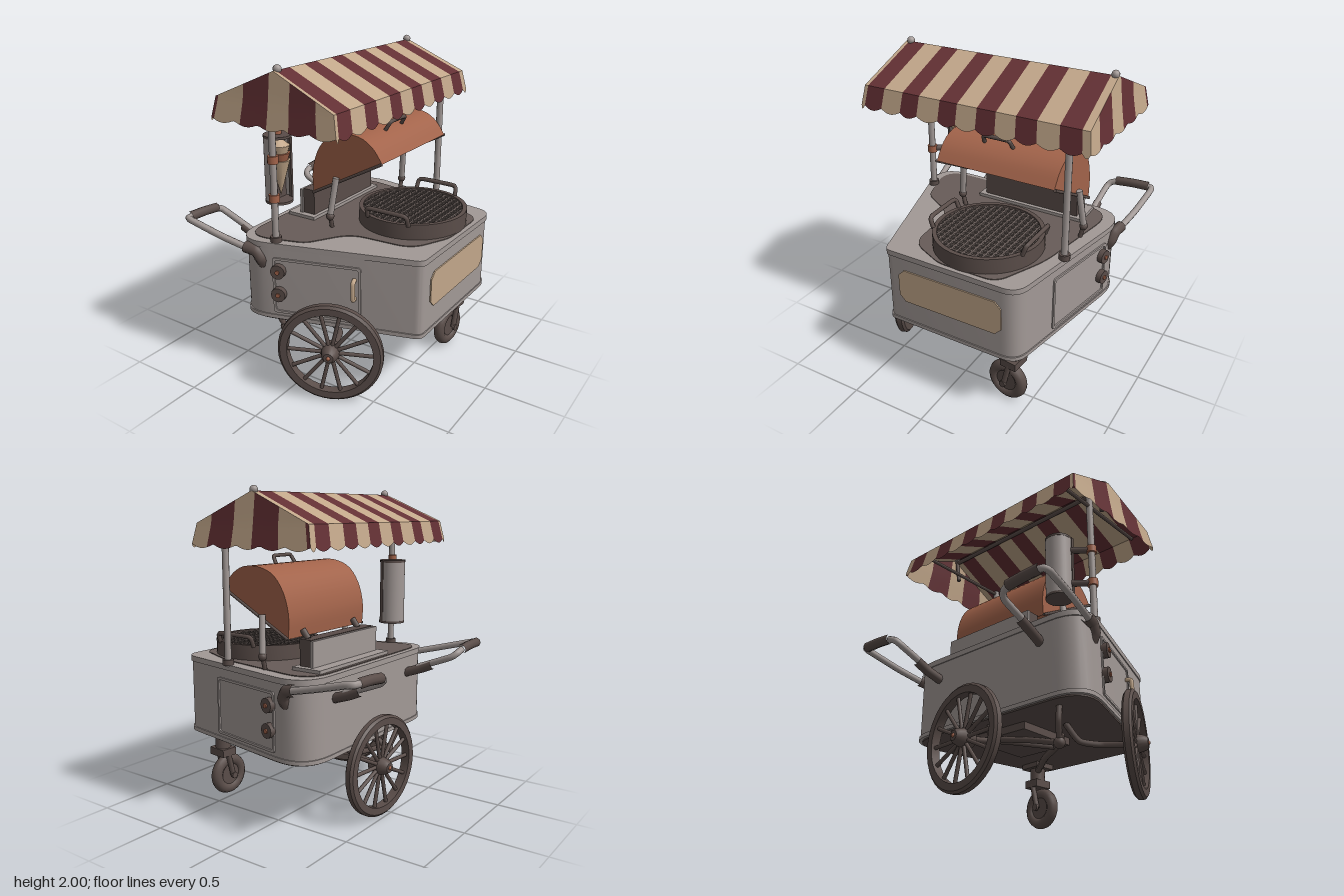
import * as THREE from 'three';
import { toCreasedNormals } from 'three/addons/utils/BufferGeometryUtils.js';

const mat = (name, color, side = THREE.FrontSide) => {
  const m = new THREE.MeshStandardMaterial({ color, side });
  m.name = name;
  return m;
};

export function createModel() {
  const root = new THREE.Group();
  root.name = 'streetGrillCart';
  const grey = mat('paintedGrey', 0xa29996, THREE.DoubleSide);
  const dark = mat('darkIron', 0x5a4d49);
  const deckDark = mat('sootyDeck', 0x675c58);
  const coal = mat('charcoal', 0x483e3a);
  const copper = mat('copper', 0xa2634a, THREE.DoubleSide);
  const maroon = mat('maroonCloth', 0x633034, THREE.DoubleSide);
  const cream = mat('creamCloth', 0xc2a78a, THREE.DoubleSide);

  const V = (p) => new THREE.Vector3(...p);
  const add = (name, geo, material, pos = [0, 0, 0], parent = root) => {
    const m = new THREE.Mesh(geo, material);
    m.name = name;
    m.position.set(...pos);
    parent.add(m);
    return m;
  };
  const group = (name, pos = [0, 0, 0], rotY = 0) => {
    const g = new THREE.Group();
    g.name = name;
    g.position.set(...pos);
    g.rotation.y = rotY;
    root.add(g);
    return g;
  };
  const box = (name, size, pos, material, parent) =>
    add(name, new THREE.BoxGeometry(...size), material, pos, parent);
  const cyl = (r, h, n = 16) => new THREE.CylinderGeometry(r, r, h, n);
  const rod = (name, a, b, r, material, parent) => {
    const A = V(a), d = V(b).sub(A);
    const m = add(name, cyl(r, d.length(), 10), material, A.clone().addScaledVector(d, 0.5).toArray(), parent);
    m.quaternion.setFromUnitVectors(new THREE.Vector3(0, 1, 0), d.normalize());
    return m;
  };
  const tube = (name, pts, r, material, parent) =>
    add(name, new THREE.TubeGeometry(new THREE.CatmullRomCurve3(pts.map(V), false, 'catmullrom', 0.3), 28, r, 8), material, [0, 0, 0], parent);
  const extrude = (shape, depth) =>
    toCreasedNormals(new THREE.ExtrudeGeometry(shape, { depth, bevelEnabled: false, curveSegments: 8 }), 0.6);
  const lathe = (pts, n) =>
    toCreasedNormals(new THREE.LatheGeometry(pts.map((p) => new THREE.Vector2(...p)), n), 0.6);

  // Outline with rounded corners; each point is [x, y, cornerLength]
  const rounded = (pts, T = THREE.Shape) => {
    const s = new T(), n = pts.length;
    pts.forEach((p, i) => {
      const c = new THREE.Vector2(p[0], p[1]);
      const toward = (q) => new THREE.Vector2(q[0], q[1]).sub(c).normalize().multiplyScalar(p[2]).add(c);
      const a = toward(pts[(i + n - 1) % n]), b = toward(pts[(i + 1) % n]);
      i ? s.lineTo(a.x, a.y) : s.moveTo(a.x, a.y);
      s.quadraticCurveTo(c.x, c.y, b.x, b.y);
    });
    s.closePath();
    return s;
  };
  const BODY = [[-0.36, 0.735, 0.25], [0.735, 0.378, 0.04], [0.74, -0.505, 0.1], [-0.36, -0.705, 0.25]];
  const slab = (pts, y0, y1, grow = 0) => {
    const q = pts.map(([x, z, r]) => [x + Math.sign(x - 0.19) * grow, -(z + Math.sign(z) * grow), r]);
    return extrude(rounded(q), y1 - y0).rotateX(-Math.PI / 2).translate(0, y0, 0);
  };

  // Cabinet
  add('cabinet', slab(BODY, 0.46, 0.94), grey);
  add('cabinetTopTrim', slab(BODY, 0.915, 0.95, 0.006), grey);
  add('cabinetBottomTrim', slab(BODY, 0.455, 0.48, 0.006), grey);
  add('cabinetFloor', slab(BODY, 0.445, 0.456, -0.01), dark);
  add('deckPlate', slab([[-0.33, 0.67, 0.2], [0.05, 0.55, 0.05], [0.2, 0.3, 0.1], [0.6, 0.27, 0.1],
    [0.715, 0.02, 0.05], [0.715, -0.36, 0.08], [0.4, -0.5, 0.1], [-0.33, -0.62, 0.2]], 0.948, 0.955), deckDark);

  // Door and knobs on each long face
  const face = (name, pos, rotY, s) => {
    const g = group(name, pos, rotY);
    const frame = rounded([[-0.27, -0.18, 0.02], [0.27, -0.18, 0.02], [0.27, 0.18, 0.02], [-0.27, 0.18, 0.02]]);
    frame.holes.push(rounded([[-0.255, -0.165, 0.02], [-0.255, 0.165, 0.02], [0.255, 0.165, 0.02], [0.255, -0.165, 0.02]], THREE.Path));
    add('doorFrame', extrude(frame, 0.009), grey, [s * 0.15, 0.68, 0], g);
    for (const y of [0.63, 0.78]) {
      add('knob', cyl(0.045, 0.034, 12).rotateX(Math.PI / 2), dark, [s * -0.08, y, 0.017], g);
      add('knobCap', cyl(0.014, 0.01, 10).rotateX(Math.PI / 2), copper, [s * -0.08, y, 0.037], g);
    }
    return g;
  };
  const front = face('frontFace', [0, 0, 0.619], 0.316, 1);
  face('backFace', [0, 0, -0.64], Math.PI - 0.18, -1);
  tube('doorLatch', [[0.38, 0.66, 0], [0.38, 0.67, 0.035], [0.38, 0.77, 0.035], [0.38, 0.78, 0]], 0.014, cream, front);

  // Sign plate with stepped corners on the end face
  const sign = new THREE.Shape();
  [[-0.35, -0.07], [-0.31, -0.11], [0.31, -0.11], [0.35, -0.07], [0.35, 0.07], [0.31, 0.11], [-0.31, 0.11], [-0.35, 0.07]]
    .forEach(([x, y], i) => (i ? sign.lineTo(x, y) : sign.moveTo(x, y)));
  add('signPlate', extrude(sign, 0.008).rotateY(Math.PI / 2), cream, [0.739, 0.73, -0.058]);

  // Round grill with grate and carrying handles
  const grill = group('grill', [0.385, 0, -0.12]);
  add('grillDrum', lathe([[0.335, 0.94], [0.335, 1.05], [0.308, 1.05], [0.308, 1.025]], 40), dark, [0, 0, 0], grill);
  add('grillBed', new THREE.CircleGeometry(0.31, 40).rotateX(-Math.PI / 2), coal, [0, 1.026, 0], grill);
  for (let i = -7; i <= 7; i++) {
    const c = i * 0.04, len = 2 * Math.sqrt(0.308 ** 2 - c * c);
    box('grateBar', [len, 0.012, 0.013], [0, 1.036, c], deckDark, grill);
    box('grateBar', [0.013, 0.012, len], [c, 1.035, 0], deckDark, grill);
  }
  for (const s of [-1, 1])
    tube('grillHandle', [[-0.14, 1.04, s * 0.3], [-0.135, 1.095, s * 0.32], [-0.1, 1.105, s * 0.325], [0.1, 1.105, s * 0.325],
      [0.135, 1.095, s * 0.32], [0.14, 1.04, s * 0.3]], 0.014, dark, grill);

  // Hinge box behind the grill
  box('hingeBoxBack', [0.02, 0.18, 0.68], [-0.228, 1.04, -0.12], grey);
  box('hingeBoxFront', [0.084, 0.19, 0.66], [-0.177, 1.04, -0.12], dark);
  box('hingeBoxFoot', [0.2, 0.03, 0.74], [-0.21, 0.96, -0.12], grey);
  for (const z of [0.12, -0.4]) rod('hinge', [-0.16, 1.13, z], [-0.12, 1.18, z], 0.02, dark);

  // Open half-barrel lid
  const arc = [[-0.115, 1.14], [-0.12, 1.27], [-0.085, 1.4], [-0.01, 1.5], [0.1, 1.543], [0.22, 1.54], [0.31, 1.49], [0.375, 1.405]];
  const curve = new THREE.SplineCurve(arc.map((p) => new THREE.Vector2(...p))).getPoints(24);
  const mid = new THREE.Vector2(0.13, 1.272);
  const inner = curve.map((p) => p.clone().sub(mid).multiplyScalar(0.95).add(mid));
  const lid = group('lid', [0, 0, -0.53]);
  add('lidShell', extrude(new THREE.Shape([...curve, ...inner.reverse()]), 0.77), copper, [0, 0, 0], lid);
  for (const z of [0, 0.755]) add('lidEnd', extrude(new THREE.Shape(curve), 0.015), copper, [0, 0, z], lid);
  for (const z of [-0.004, 0.774]) rod('lidEdge', [-0.115, 1.14, z], [0.375, 1.405, z], 0.009, dark, lid);
  tube('lidHandle', [[0.24, 1.53, -0.2], [0.27, 1.58, -0.19], [0.27, 1.585, -0.16], [0.27, 1.585, -0.05],
    [0.27, 1.58, -0.02], [0.24, 1.53, -0.01]], 0.012, dark);
  for (const s of [-1, 1]) {
    const z = -0.145 + s * 0.41;
    rod('lidStrut', [0.04, 1.03, z + s * 0.02], [0.065, 1.27, z - s * 0.01], 0.02, grey);
    add('strutJoint', new THREE.SphereGeometry(0.026, 10, 8), dark, [0.04, 1.03, z + s * 0.02]);
    rod('strutFoot', [0.04, 0.95, z], [0.04, 1.03, z + s * 0.02], 0.014, dark);
  }

  // Spoked wheels
  const wheel = (name, pos, rotY) => {
    const g = group(name, pos, rotY);
    add('rim', lathe([[0.26, -0.029], [0.303, -0.029], [0.318, -0.016], [0.318, 0.016], [0.303, 0.029],
      [0.26, 0.029], [0.26, -0.029]], 40).rotateX(Math.PI / 2), dark, [0, 0, 0], g);
    for (let i = 0; i < 14; i++) {
      const a = (i / 14) * Math.PI * 2;
      rod('spoke', [0, 0, 0], [Math.cos(a) * 0.268, Math.sin(a) * 0.268, 0], 0.012, dark, g);
    }
    add('hub', lathe([[0, -0.06], [0.05, -0.06], [0.058, 0], [0.045, 0.05], [0.03, 0.07], [0, 0.07]], 16)
      .rotateX(Math.PI / 2), dark, [0, 0, 0], g);
    add('hubCap', new THREE.SphereGeometry(0.013, 10, 8), copper, [0, 0, 0.068], g);
  };
  wheel('frontWheel', [0.265, 0.322, 0.61], 0.41);
  wheel('sideWheel', [-0.462, 0.325, -0.07], -Math.PI / 2 - 0.1);

  // Swivel caster
  const caster = group('caster', [0.555, 0, -0.35], -0.1);
  add('casterTyre', new THREE.TorusGeometry(0.098, 0.037, 10, 28).rotateY(Math.PI / 2), dark, [0, 0.137, 0], caster);
  add('casterHub', cyl(0.07, 0.045, 20).rotateZ(Math.PI / 2), dark, [0, 0.137, 0], caster);
  for (const s of [-1, 1]) {
    rod('casterFork', [s * 0.048, 0.137, 0], [s * 0.048, 0.3, -0.04], 0.018, dark, caster);
    add('casterNut', cyl(0.022, 0.018, 10).rotateZ(Math.PI / 2), dark, [s * 0.06, 0.137, 0], caster);
  }
  box('casterYoke', [0.13, 0.05, 0.11], [0, 0.305, -0.04], dark, caster);
  add('casterStem', cyl(0.05, 0.12), dark, [0, 0.37, -0.04], caster);
  box('casterPlate', [0.15, 0.035, 0.15], [0, 0.43, -0.04], dark, caster);

  // Undercarriage
  box('bellyPan', [0.42, 0.05, 0.4], [0.02, 0.425, -0.05], dark);
  tube('frontAxle', [[0.265, 0.32, 0.61], [0.2, 0.34, 0.42], [0.08, 0.35, 0.34], [0.0, 0.45, 0.3]], 0.02, dark);
  tube('mainBrace', [[-0.22, 0.25, 0.43], [-0.12, 0.33, 0.36], [0.1, 0.36, 0.15], [0.3, 0.39, -0.1], [0.55, 0.4, -0.38]], 0.022, dark);
  tube('sideAxle', [[-0.46, 0.325, -0.07], [-0.3, 0.35, -0.07], [-0.15, 0.37, -0.02], [0.1, 0.36, 0.15]], 0.02, dark);
  tube('braceLink', [[-0.27, 0.45, -0.05], [-0.27, 0.36, -0.02], [-0.23, 0.3, 0.25], [-0.22, 0.25, 0.43]], 0.018, dark);
  tube('braceHanger', [[-0.22, 0.25, 0.43], [-0.26, 0.36, 0.46], [-0.25, 0.46, 0.46]], 0.018, dark);
  add('braceBall', new THREE.SphereGeometry(0.034, 12, 8), dark, [-0.22, 0.25, 0.43]);

  // Push handles, mirrored front to back
  for (const s of [1, -1]) {
    const g = group(s > 0 ? 'frontPushHandle' : 'backPushHandle');
    g.scale.z = s;
    tube('handleBracket', [[-0.19, 0.79, 0.64], [-0.19, 0.84, 0.67], [-0.22, 0.885, 0.68], [-0.29, 0.9, 0.695]], 0.036, dark, g);
    tube('outerRod', [[-0.27, 0.895, 0.695], [-0.45, 0.94, 0.725], [-0.66, 0.995, 0.745], [-0.705, 1.0, 0.735], [-0.71, 1.0, 0.7]], 0.021, grey, g);
    tube('grip', [[-0.71, 1.003, 0.72], [-0.71, 1.0, 0.6], [-0.71, 0.99, 0.49]], 0.031, dark, g);
    tube('innerRod', [[-0.71, 0.99, 0.5], [-0.7, 0.97, 0.45], [-0.66, 0.94, 0.43], [-0.43, 0.85, 0.425]], 0.021, grey, g);
    tube('innerBracket', [[-0.54, 0.88, 0.427], [-0.46, 0.845, 0.425], [-0.33, 0.8, 0.41]], 0.03, dark, g);
  }

  // Poles and canopy frame
  for (const [x, z, top] of [[-0.11, 0.62, 1.87], [0.31, -0.58, 1.79]]) {
    const g = group('pole', [x, 0, z]);
    rod('poleShaft', [0, 0.94, 0], [0, top, 0], 0.021, grey, g);
    add('poleFoot', cyl(0.034, 0.035), dark, [0, 0.965, 0], g);
    rod('crossBar', [-0.36 - x, 1.77, 0], [0.36 - x, 1.77, 0], 0.012, dark, g);
  }
  rod('ridgeBar', [-0.012, 1.94, -0.67], [-0.012, 1.94, 0.67], 0.014, dark);
  for (const z of [-0.685, 0.67]) {
    rod('gablePost', [-0.012, 1.78, z * 0.96], [-0.012, 1.96, z], 0.014, dark);
    add('finial', new THREE.SphereGeometry(0.024, 12, 10), grey, [-0.012, 1.973, z]);
  }

  // Striped canopy: cloth sheets with a flared, scalloped valance
  const canopy = group('canopy', [-0.013, 0, 0]);
  const EAVE = 0.4;
  const roofY = (x) => 1.967 - 0.435 * Math.abs(x);
  const flare = (y) => 1 + 0.07 * Math.max(0, (1.793 - y) / 0.13);
  const spread = (y) => (1 + 0.03 * Math.min(1, (1.967 - y) / 0.174)) * (1 + (flare(y) - 1) * 0.4);
  const hem = (u) => 1.675 - 0.022 * Math.sin(u * Math.PI);
  const sheet = (name, material, nu, nv, fn) => {
    const geo = new THREE.PlaneGeometry(1, 1, nu, nv), p = geo.attributes.position;
    for (let i = 0; i < p.count; i++) p.setXYZ(i, ...fn(p.getX(i) + 0.5, 0.5 - p.getY(i)));
    geo.computeVertexNormals();
    add(name, geo, material, [0, 0, 0], canopy);
  };
  const bands = [-0.705, -0.66, -0.538, -0.41, -0.287, -0.167, -0.05, 0.075, 0.187, 0.325, 0.437, 0.565, 0.682, 0.705];
  for (let i = 0; i < bands.length - 1; i++)
    for (const s of [-1, 1]) {
      const m = i % 2 ? maroon : cream;
      const Z = (u) => THREE.MathUtils.lerp(bands[i], bands[i + 1], s > 0 ? 1 - u : u);
      sheet('roofStripe', m, 4, 4, (u, v) => [s * EAVE * v, roofY(EAVE * v), Z(u) * spread(roofY(EAVE * v))]);
      sheet('valanceStripe', m, 8, 2, (u, v) => {
        const y = THREE.MathUtils.lerp(roofY(EAVE), hem(u), v);
        return [s * EAVE * flare(y), y, Z(u) * spread(y)];
      });
    }
  const cuts = [-0.4, -0.38, -0.2, -0.025, 0, 0.115, 0.285, 0.4];
  const cloth = [maroon, cream, maroon, cream, cream, maroon, cream];
  for (const end of [bands[0], bands.at(-1)])
    cloth.forEach((m, i) => sheet('gableStripe', m, 8, 6, (u, v) => {
      const x = THREE.MathUtils.lerp(cuts[i], cuts[i + 1], end > 0 ? u : 1 - u);
      const y = THREE.MathUtils.lerp(roofY(x), hem(((x + 0.4) / 0.16) % 1), v);
      return [x * flare(y), y, end * spread(y)];
    }));

  // Cone dispenser clamped to the front pole, open toward the grill
  const disp = group('coneDispenser', [-0.215, 0, 0.45]);
  add('dispenserShell', new THREE.CylinderGeometry(0.082, 0.082, 0.41, 20, 1, true, Math.PI - 0.35, Math.PI + 0.7), grey, [0, 1.335, 0], disp);
  box('dispenserLiner', [0.006, 0.4, 0.15], [-0.01, 1.335, 0], dark, disp);
  for (const z of [-0.075, 0.075]) box('dispenserEdge', [0.02, 0.41, 0.016], [0.032, 1.335, z], dark, disp);
  for (const y of [1.135, 1.535]) add('dispenserCap', cyl(0.084, 0.015, 20), dark, [0, y, 0], disp);
  add('dispenserKnob', cyl(0.026, 0.03, 12), copper, [0, 1.56, 0], disp);
  for (let i = 0; i < 3; i++)
    add('waferCone', new THREE.ConeGeometry(0.062, 0.22, 14).rotateX(Math.PI), i === 1 ? copper : cream, [0.015, 1.28 + i * 0.045, 0], disp);
  add('topCone', new THREE.ConeGeometry(0.062, 0.05, 14), cream, [0.015, 1.503, 0], disp);
  for (const y of [1.22, 1.45]) {
    rod('dispenserArm', [-0.19, y, 0.52], [-0.11, y, 0.62], 0.02, dark);
    add('poleClamp', cyl(0.032, 0.045, 12), copper, [-0.11, y, 0.62]);
  }
  return root;
}
